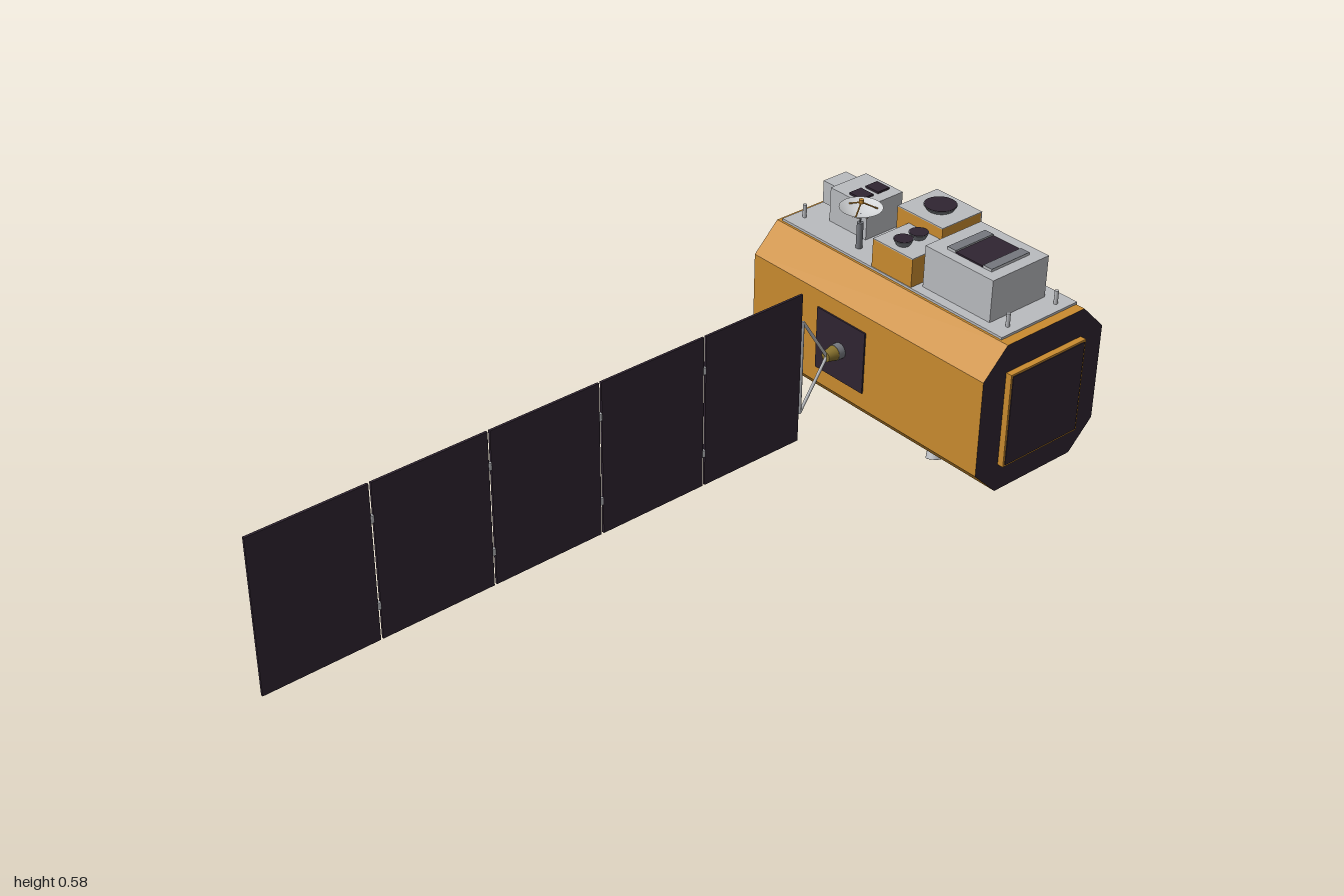
import * as THREE from 'three';

const mat = (name, color) => {
  const m = new THREE.MeshStandardMaterial({ color });
  m.name = name;
  return m;
};

export function createModel() {
  const root = new THREE.Group();
  root.name = 'satellite';
  const foil = mat('gold foil', 0xc98b2f);
  const dark = mat('dark panel', 0x2f2431);
  const grey = mat('light grey', 0xb9bbbf);
  const metal = mat('dark metal', 0x75787e);
  const bronze = mat('bronze', 0x86702c);
  const dishWhite = mat('dish white', 0xd2d4d6);
  dishWhite.side = THREE.DoubleSide;

  const add = (name, geo, material, x = 0, y = 0, z = 0, parent = root) => {
    const m = new THREE.Mesh(geo, material);
    m.name = name;
    m.position.set(x, y, z);
    parent.add(m);
    return m;
  };
  // Box given by its limits on each axis
  const box = (name, material, x0, x1, y0, y1, z0, z1) =>
    add(name, new THREE.BoxGeometry(x1 - x0, y1 - y0, z1 - z0), material,
      (x0 + x1) / 2, (y0 + y1) / 2, (z0 + z1) / 2);
  // Cylinder or cone running from point a to point b
  const rod = (name, material, a, b, ra, rb = ra, sides = 20) => {
    const A = new THREE.Vector3(...a), B = new THREE.Vector3(...b);
    const d = B.clone().sub(A);
    const m = add(name, new THREE.CylinderGeometry(rb, ra, d.length(), sides), material);
    m.position.copy(A).add(B).multiplyScalar(0.5);
    m.quaternion.setFromUnitVectors(new THREE.Vector3(0, 1, 0), d.normalize());
    return m;
  };

  // Octagonal body, extruded along x, with dark ends
  const h = 0.195, w = 0.195, c = 0.07;
  const oct = new THREE.Shape([
    [-w + c, -h], [w - c, -h], [w, -h + c], [w, h - c],
    [w - c, h], [-w + c, h], [-w, h - c], [-w, -h + c],
  ].map(p => new THREE.Vector2(...p)));
  const bodyGeo = new THREE.ExtrudeGeometry(oct, { depth: 0.757, bevelEnabled: false });
  bodyGeo.rotateY(Math.PI / 2);
  add('body', bodyGeo, [dark, foil], -0.375, 0.255, -0.802);

  // Plates on the body sides
  box('topDeck', grey, -0.363, 0.357, 0.449, 0.456, -0.929, -0.683);
  box('bottomPlate', dark, -0.253, 0.195, 0.055, 0.061, -0.92, -0.685);
  box('frontPlate', dark, -0.148, 0.013, 0.173, 0.337, -0.608, -0.603);
  box('backRadiator', grey, -0.252, 0.26, 0.147, 0.363, -1.0, -0.995);
  box('backSmallPanel', dark, -0.352, -0.262, 0.163, 0.347, -1.0, -0.995);
  box('leftHousing', foil, 0.38, 0.398, 0.132, 0.378, -0.925, -0.68);
  box('leftHousingFace', dark, 0.397, 0.4, 0.137, 0.373, -0.92, -0.685);

  // Round end plate with four nozzles
  rod('endPlateRim', dark, [-0.37, 0.255, -0.805], [-0.389, 0.255, -0.805], 0.133, 0.133, 48);
  rod('endPlateFace', grey, [-0.388, 0.255, -0.805], [-0.391, 0.255, -0.805], 0.127, 0.127, 48);
  for (const y of [0.206, 0.304]) for (const z of [-0.854, -0.756]) {
    rod('endNozzle', metal, [-0.388, y, z], [-0.402, y, z], 0.009, 0.017);
    rod('endNozzleMouth', dark, [-0.4, y, z], [-0.403, y, z], 0.015, 0.016);
  }

  // Camera block on the deck
  box('cameraBody', grey, -0.283, -0.158, 0.456, 0.545, -0.878, -0.762);
  box('cameraHood', grey, -0.33, -0.283, 0.48, 0.538, -0.857, -0.783);
  box('cameraWindow', dark, -0.335, -0.33, 0.488, 0.53, -0.852, -0.788);
  for (const z of [-0.844, -0.791])
    box('cameraTopWindow', dark, -0.23, -0.188, 0.544, 0.55, z - 0.019, z + 0.019);

  // Tall foil instrument with grey top and back
  box('tallInstrument', foil, -0.097, 0.05, 0.456, 0.558, -0.927, -0.8);
  box('tallInstrumentTop', grey, -0.097, 0.05, 0.557, 0.56, -0.93, -0.8);
  box('tallInstrumentBack', grey, -0.097, 0.05, 0.456, 0.558, -0.93, -0.926);
  rod('tallLens', metal, [-0.024, 0.559, -0.867], [-0.024, 0.57, -0.867], 0.032, 0.04, 32);
  rod('tallLensGlass', dark, [-0.024, 0.569, -0.867], [-0.024, 0.571, -0.867], 0.038, 0.038, 32);

  // Low foil instrument with two lenses
  box('lowInstrument', foil, -0.058, 0.071, 0.456, 0.528, -0.8, -0.685);
  box('lowInstrumentTop', grey, -0.058, 0.071, 0.527, 0.53, -0.8, -0.685);
  for (const z of [-0.768, -0.719]) {
    rod('lowLens', metal, [0.006, 0.529, z], [0.006, 0.544, z], 0.016, 0.024, 28);
    rod('lowLensGlass', dark, [0.006, 0.543, z], [0.006, 0.545, z], 0.022, 0.022, 28);
  }

  // Large grey instrument
  box('largeInstrument', grey, 0.085, 0.295, 0.456, 0.563, -0.889, -0.709);
  box('largeInstrumentWindow', dark, 0.155, 0.237, 0.562, 0.567, -0.857, -0.735);
  for (const x of [0.141, 0.252]) {
    box('windowRail', grey, x - 0.013, x + 0.013, 0.562, 0.569, -0.857, -0.735);
    box('windowRailTop', metal, x - 0.013, x + 0.013, 0.569, 0.57, -0.857, -0.735);
  }
  box('largeInstrumentBackPlate', grey, 0.135, 0.237, 0.48, 0.54, -0.895, -0.889);

  // Dish antenna on its mast
  const [dx, dz] = [-0.142, -0.725];
  rod('dishMast', metal, [dx, 0.456, dz], [dx, 0.523, dz], 0.008);
  rod('dishPin', metal, [dx, 0.523, dz], [dx, 0.546, dz], 0.002);
  const bowl = [0, 0.2, 0.4, 0.6, 0.8, 1].map(t => new THREE.Vector2(0.052 * t, 0.018 * t * t));
  add('dishInside', new THREE.LatheGeometry(bowl, 36), dishWhite, dx, 0.545, dz);
  const shell = bowl.map(p => new THREE.Vector2(p.x, p.y - 0.002));
  add('dishShell', new THREE.LatheGeometry(shell, 36), foil, dx, 0.545, dz);
  for (let i = 0; i < 3; i++) {
    const a = i * Math.PI * 2 / 3 + 0.5, s = Math.sin(a), k = Math.cos(a);
    rod('dishStrut', foil, [dx + 0.04 * s, 0.556, dz + 0.04 * k], [dx, 0.576, dz], 0.0018, 0.0018, 8);
  }
  rod('dishFeed', foil, [dx, 0.573, dz], [dx, 0.583, dz], 0.006);

  // Deck pins
  for (const [x, z] of [[-0.335, -0.729], [0.331, -0.729], [0.331, -0.886]])
    rod('deckPin', grey, [x, 0.455, z], [x, 0.49, z], 0.005, 0.005, 12);

  // Underside rod and tilted thrusters
  rod('undersideRod', grey, [-0.291, 0.061, -0.802], [-0.291, 0.01, -0.802], 0.008);
  for (const s of [-1, 1]) {
    const z = -0.802 + s * 0.066;
    rod('thrusterMount', grey, [0.134, 0.061, z], [0.134, 0.044, z], 0.018);
    rod('thruster', grey, [0.134, 0.05, z], [0.147, 0.009, z + s * 0.013], 0.013, 0.02);
    rod('thrusterMouth', dark, [0.1465, 0.0105, z + s * 0.0125], [0.1473, 0.008, z + s * 0.0133], 0.0185);
  }

  // Solar wing: drive, yoke and five hinged panels
  const px = -0.067, py = 0.255;
  rod('wingDrive', metal, [px, py, -0.607], [px, py, -0.585], 0.02, 0.02, 28);
  rod('wingDriveTip', bronze, [px, py, -0.586], [px, py, -0.558], 0.019, 0.013, 28);
  for (const s of [-1, 1])
    rod('yokeArm', grey, [px, py, -0.562], [px, py + s * 0.123, -0.482], 0.004, 0.004, 10);
  rod('yokeBar', grey, [px, 0.13, -0.481], [px, 0.38, -0.481], 0.004, 0.004, 10);
  const pitch = 0.2962, len = 0.29;
  for (let i = 0; i < 5; i++) {
    const z0 = -0.475 + i * pitch;
    box('solarPanel', dark, px - 0.003, px + 0.003, 0.057, 0.455, z0, z0 + len);
    if (i > 0) for (const y of [0.145, 0.367])
      rod('panelHinge', grey, [px, y - 0.009, z0 - 0.003], [px, y + 0.009, z0 - 0.003], 0.005, 0.005, 10);
  }
  return root;
}
